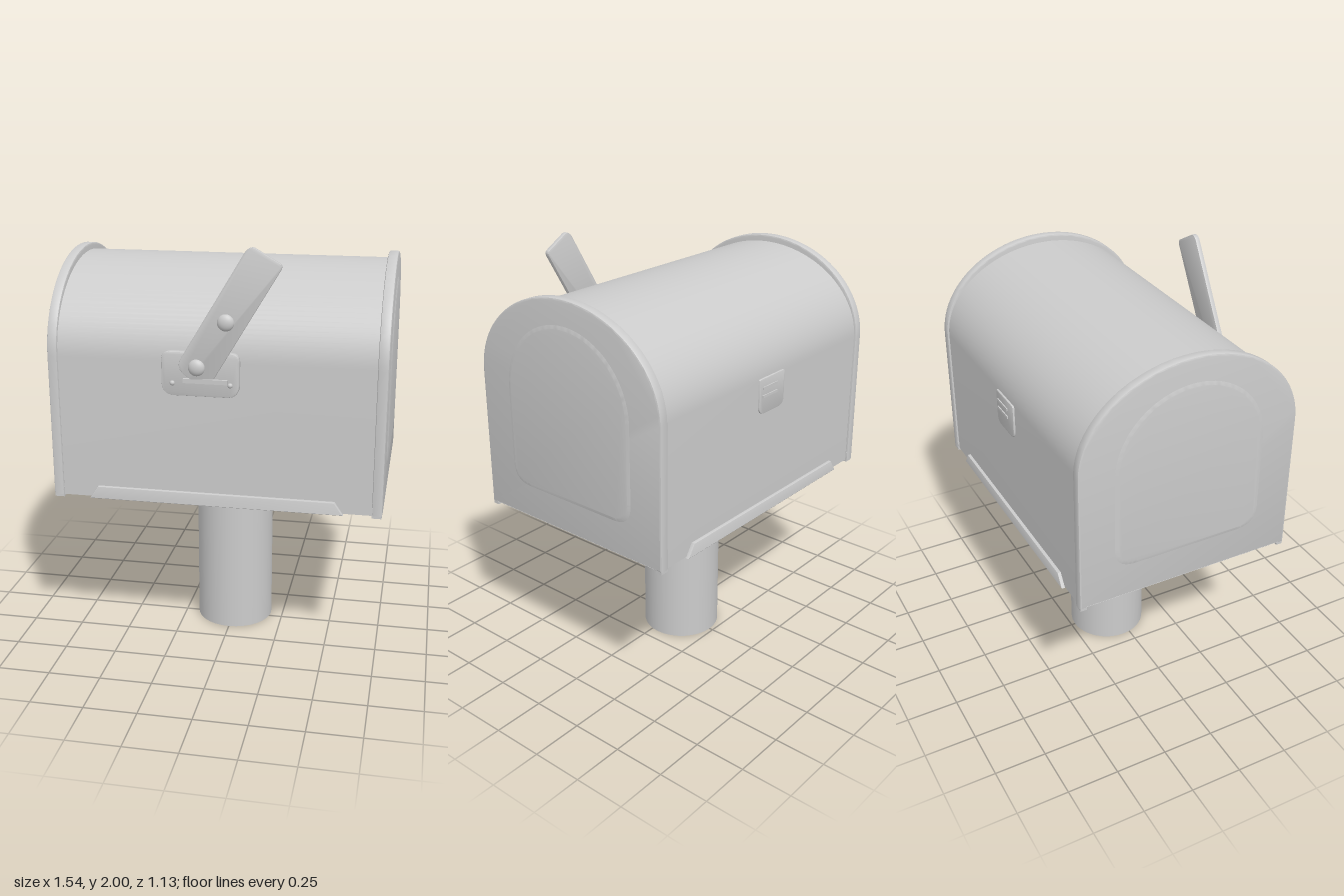
import * as THREE from 'three';
import { toCreasedNormals } from 'three/addons/utils/BufferGeometryUtils.js';

const CZ = -0.03; // depth centre of the box
const mat = new THREE.MeshStandardMaterial({ color: 0xcccccc });

export function createModel() {
  const group = new THREE.Group();

  const add = (name, geometry, x = 0, y = 0, z = 0) => {
    const mesh = new THREE.Mesh(geometry, mat);
    mesh.name = name;
    mesh.position.set(x, y, z);
    group.add(mesh);
    return mesh;
  };

  // Straight walls below an elliptical arch; r rounds the lower corners
  const archOn = (path, w, bottom, spring, top, r) => {
    path.moveTo(-w + r, bottom);
    path.lineTo(w - r, bottom);
    if (r) path.quadraticCurveTo(w, bottom, w, bottom + r);
    path.lineTo(w, spring);
    path.absellipse(0, spring, w, top - spring, 0, Math.PI, false, 0);
    path.lineTo(-w, bottom + r);
    if (r) path.quadraticCurveTo(-w, bottom, -w + r, bottom);
    return path;
  };
  const arch = (w, bottom, spring, top, r = 0) => archOn(new THREE.Shape(), w, bottom, spring, top, r);

  // Extrusion of total thickness `depth`, starting at z = 0, with inset bevels
  const slab = (shape, depth, bevel = 0, inset = bevel) => toCreasedNormals(
    new THREE.ExtrudeGeometry(shape, {
      depth: depth - 2 * bevel, curveSegments: 28, bevelEnabled: bevel > 0,
      bevelThickness: bevel, bevelSize: inset, bevelOffset: -inset, bevelSegments: 2,
    }).translate(0, 0, bevel), 0.5);

  const rounded = (w, h, rTop, rBottom) => {
    const s = new THREE.Shape(), a = w / 2, b = h / 2;
    s.moveTo(-a + rBottom, -b);
    s.lineTo(a - rBottom, -b);
    s.quadraticCurveTo(a, -b, a, -b + rBottom);
    s.lineTo(a, b - rTop);
    s.quadraticCurveTo(a, b, a - rTop, b);
    s.lineTo(-a + rTop, b);
    s.quadraticCurveTo(-a, b, -a, b - rTop);
    s.lineTo(-a, -b + rBottom);
    s.quadraticCurveTo(-a, -b, -a + rBottom, -b);
    return s;
  };

  // Post and mounting plate
  add('post', new THREE.CylinderGeometry(0.19, 0.19, 0.78, 32), 0, 0.39, -0.04);
  add('mountingPlate', new THREE.BoxGeometry(0.86, 0.05, 0.72), 0, 0.79, CZ);

  // Arched box
  const body = slab(arch(0.52, 0.81, 1.48, 1.875), 1.48);
  add('body', body.translate(0, 0, -0.74).rotateY(Math.PI / 2), 0, 0, CZ);

  // Both ends: rim, raised panel, lower lip and corner feet
  for (const [side, sx] of [['left', 1], ['right', -1]]) {
    const place = (name, geometry, x) => {
      add(name, geometry.rotateY(sx * Math.PI / 2), sx * x, 0, CZ);
    };
    const rim = arch(0.53, 0.812, 1.48, 1.907);
    rim.holes.push(archOn(new THREE.Path(), 0.495, 0.825, 1.48, 1.865, 0));
    place(side + 'Rim', slab(rim, 0.047, 0.008), 0.718);
    place(side + 'EndPanel', slab(arch(0.385, 0.95, 1.44, 1.815, 0.13), 0.08, 0.03, 0.04), 0.69);
    add(side + 'EndLip', new THREE.BoxGeometry(0.02, 0.125, 0.83), sx * 0.742, 0.885, CZ);
    for (const sz of [1, -1]) {
      add(side + 'RimFoot', new THREE.BoxGeometry(0.045, 0.05, 0.03), sx * 0.74, 0.825, CZ + sz * 0.512);
    }
  }

  // Folded flanges along the lower long edges
  const flange = new THREE.Shape([[-0.59, 0.805], [0.59, 0.805], [0.55, 0.865], [-0.55, 0.865]]
    .map(([x, y]) => new THREE.Vector2(x, y)));
  add('frontFlange', slab(flange, 0.03, 0.004), 0, 0, 0.476);
  add('backFlange', slab(flange, 0.03, 0.004), 0, 0, -0.566);

  // Flag bracket with its folded ledge
  add('flagBracket', slab(rounded(0.35, 0.2, 0.04, 0.06), 0.035, 0.006), -0.055, 1.432, 0.488);
  add('flagLedge', new THREE.BoxGeometry(0.2, 0.02, 0.02), -0.03, 1.405, 0.526);
  for (const x of [-0.18, 0.08]) {
    add('bracketPin', new THREE.SphereGeometry(0.012, 12, 8), x, 1.39, 0.522);
  }

  // Tilted flag with clipped corners
  const flag = new THREE.Shape();
  flag.moveTo(-0.09, 1.415);
  flag.lineTo(0.01, 1.42);
  flag.lineTo(0.3, 1.905);
  flag.quadraticCurveTo(0.31, 1.925, 0.295, 1.935);
  flag.lineTo(0.19, 1.995);
  flag.quadraticCurveTo(0.165, 2.005, 0.145, 1.975);
  flag.lineTo(-0.14, 1.5);
  flag.quadraticCurveTo(-0.16, 1.45, -0.09, 1.415);
  add('flag', slab(flag, 0.024, 0.004), 0, 0, 0.522);

  // Domed rivets
  for (const [x, y] of [[-0.065, 1.47], [0.065, 1.675]]) {
    const dome = new THREE.SphereGeometry(0.038, 20, 8, 0, Math.PI * 2, 0, Math.PI / 2);
    add('rivet', dome.scale(1, 0.6, 1).rotateX(Math.PI / 2), x, y, 0.544);
  }

  // Small clip on the back wall
  add('backClip', slab(rounded(0.19, 0.17, 0.01, 0.04), 0.03, 0.003), -0.01, 1.4, -0.559);
  for (const y of [1.44, 1.4]) {
    add('backClipTab', new THREE.BoxGeometry(0.11, 0.012, 0.01), 0.01, y, -0.559);
  }
  return group;
}
